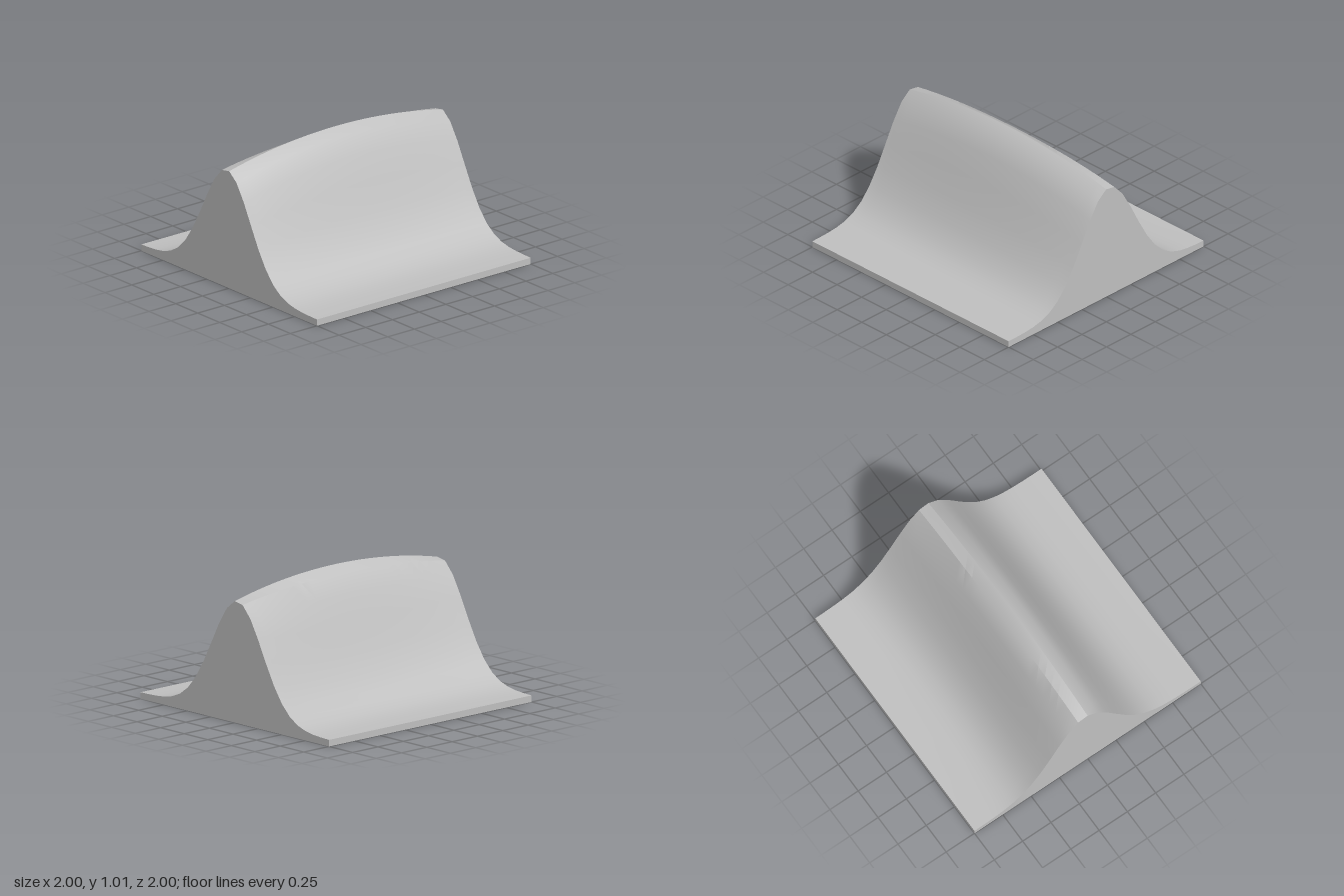
import * as THREE from 'three';
import { toCreasedNormals } from 'three/addons/utils/BufferGeometryUtils.js';

const BASE = 0.048; // thickness of the slab edges

// Bell-shaped ridge: towards both ends it gets lower, wider and drifts to -x
function ridgeHeight(x, z) {
  const t = z * z;
  const peak = 0.967 - 0.107 * t;
  const centre = -0.027 * t;
  const sharpness = 8 - t;
  return BASE + peak * Math.exp(-sharpness * (x - centre) ** 2);
}

export function createModel() {
  const model = new THREE.Group();
  model.name = 'ridgeModel';

  const stone = new THREE.MeshStandardMaterial({ color: 0xbfbfbf });
  stone.name = 'light grey';

  // Solid block whose top is raised into the ridge
  const block = new THREE.BoxGeometry(2, 1, 2, 24, 1, 24);
  const pos = block.attributes.position;
  for (let i = 0; i < pos.count; i++) {
    const top = pos.getY(i) > 0;
    pos.setY(i, top ? ridgeHeight(pos.getX(i), pos.getZ(i)) : 0);
  }

  // Smooth slopes with sharp crest and slab edges
  const ridge = new THREE.Mesh(toCreasedNormals(block, Math.PI / 6), stone);
  ridge.name = 'ridge';
  model.add(ridge);

  return model;
}
